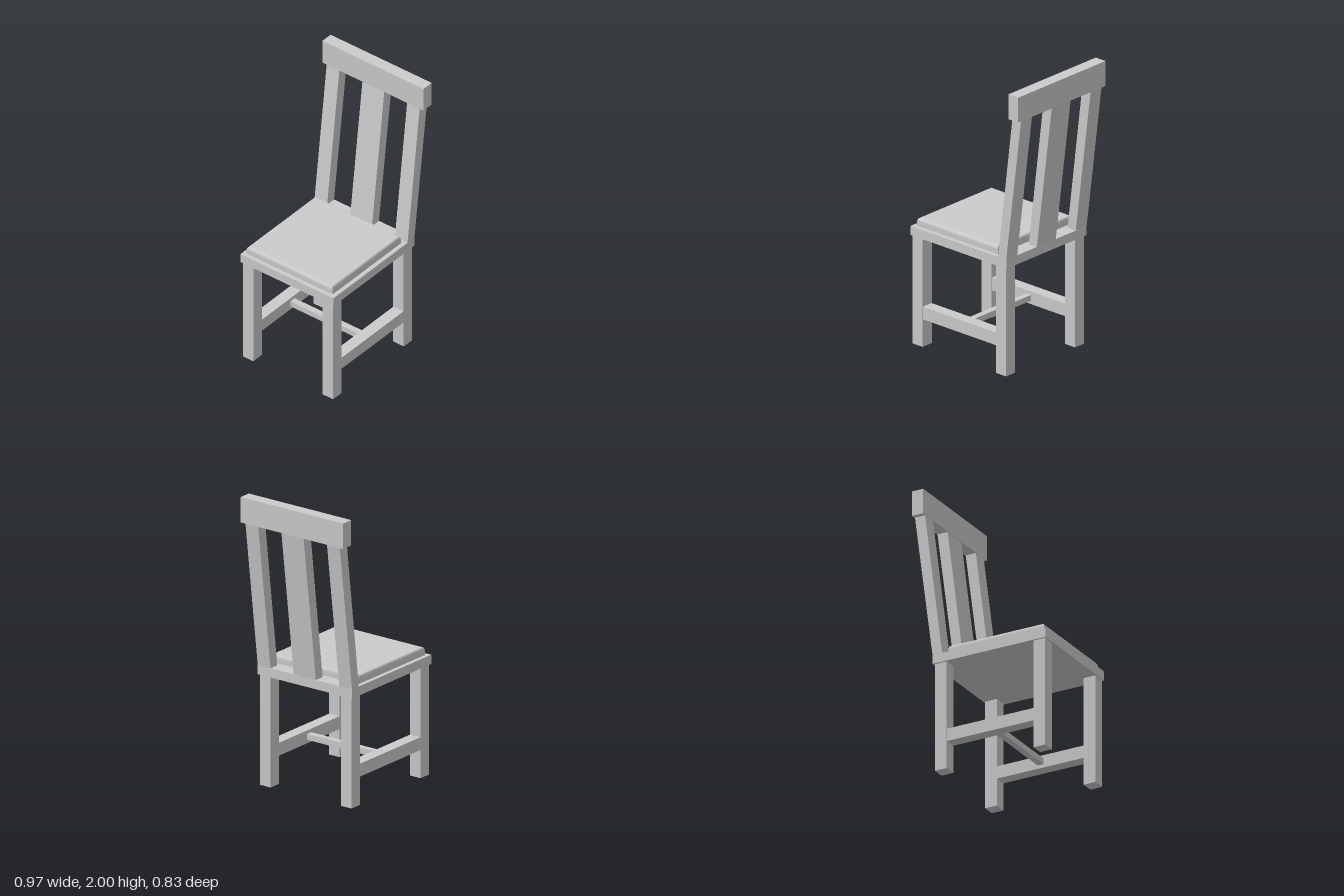
import * as THREE from 'three';

export function createModel() {
  const chair = new THREE.Group();
  chair.name = 'chair';
  const material = new THREE.MeshStandardMaterial({ color: 0xcccccc });

  const add = (name, geometry) => {
    const mesh = new THREE.Mesh(geometry, material);
    mesh.name = name;
    chair.add(mesh);
    return mesh;
  };
  // Box given by its limits on each axis
  const box = (name, x0, x1, y0, y1, z0, z1) => {
    const geometry = new THREE.BoxGeometry(x1 - x0, y1 - y0, z1 - z0);
    geometry.translate((x0 + x1) / 2, (y0 + y1) / 2, (z0 + z1) / 2);
    return add(name, geometry);
  };

  // Seat board
  box('seat', -0.487, 0.35, 0.757, 0.82, -0.384, 0.382);

  // Cushion: a slab with a rounded, mitred rim, its lower bevel sunk in the seat
  const [x0, x1, z0, z1] = [-0.458, 0.248, -0.355, 0.351];
  const rim = 0.015, roll = 0.025, bottom = 0.79, top = 0.875;
  const outline = new THREE.Shape([
    new THREE.Vector2(x0 + rim, -z1 + rim),
    new THREE.Vector2(x1 - rim, -z1 + rim),
    new THREE.Vector2(x1 - rim, -z0 - rim),
    new THREE.Vector2(x0 + rim, -z0 - rim),
  ]);
  const cushion = new THREE.ExtrudeGeometry(outline, {
    depth: top - bottom - 2 * roll,
    bevelSize: rim, bevelThickness: roll, bevelSegments: 4,
  });
  cushion.rotateX(-Math.PI / 2);
  cushion.translate(0, bottom + roll, 0);
  add('cushion', cushion);

  // Legs and side stretchers, mirrored left and right
  for (const [side, s] of [['left', 1], ['right', -1]]) {
    const za = Math.min(0.285 * s, 0.372 * s), zb = Math.max(0.285 * s, 0.372 * s);
    box(side + 'FrontLeg', -0.477, -0.39, 0, 0.76, za, zb);
    box(side + 'BackLeg', 0.252, 0.339, 0, 0.76, za, zb);
    box(side + 'Stretcher', -0.392, 0.254, 0.192, 0.28, za + 0.002, zb - 0.002);
  }
  box('crossStretcher', -0.092, -0.048, 0.216, 0.256, -0.29, 0.29);

  // Leaning back posts and centre slat: side profile extruded across z
  const lean = new THREE.Shape([
    new THREE.Vector2(0.278, 0.815),
    new THREE.Vector2(0.349, 0.815),
    new THREE.Vector2(0.48, 1.83),
    new THREE.Vector2(0.405, 1.83),
  ]);
  for (const [name, a, b] of [
    ['leftBackPost', 0.278, 0.382],
    ['backSlat', -0.09, 0.09],
    ['rightBackPost', -0.384, -0.28],
  ]) {
    const geometry = new THREE.ExtrudeGeometry(lean, { depth: b - a, bevelEnabled: false });
    geometry.translate(0, 0, a);
    add(name, geometry);
  }

  // Top rail
  box('topRail', 0.4, 0.485, 1.826, 2, -0.416, 0.416);
  return chair;
}
